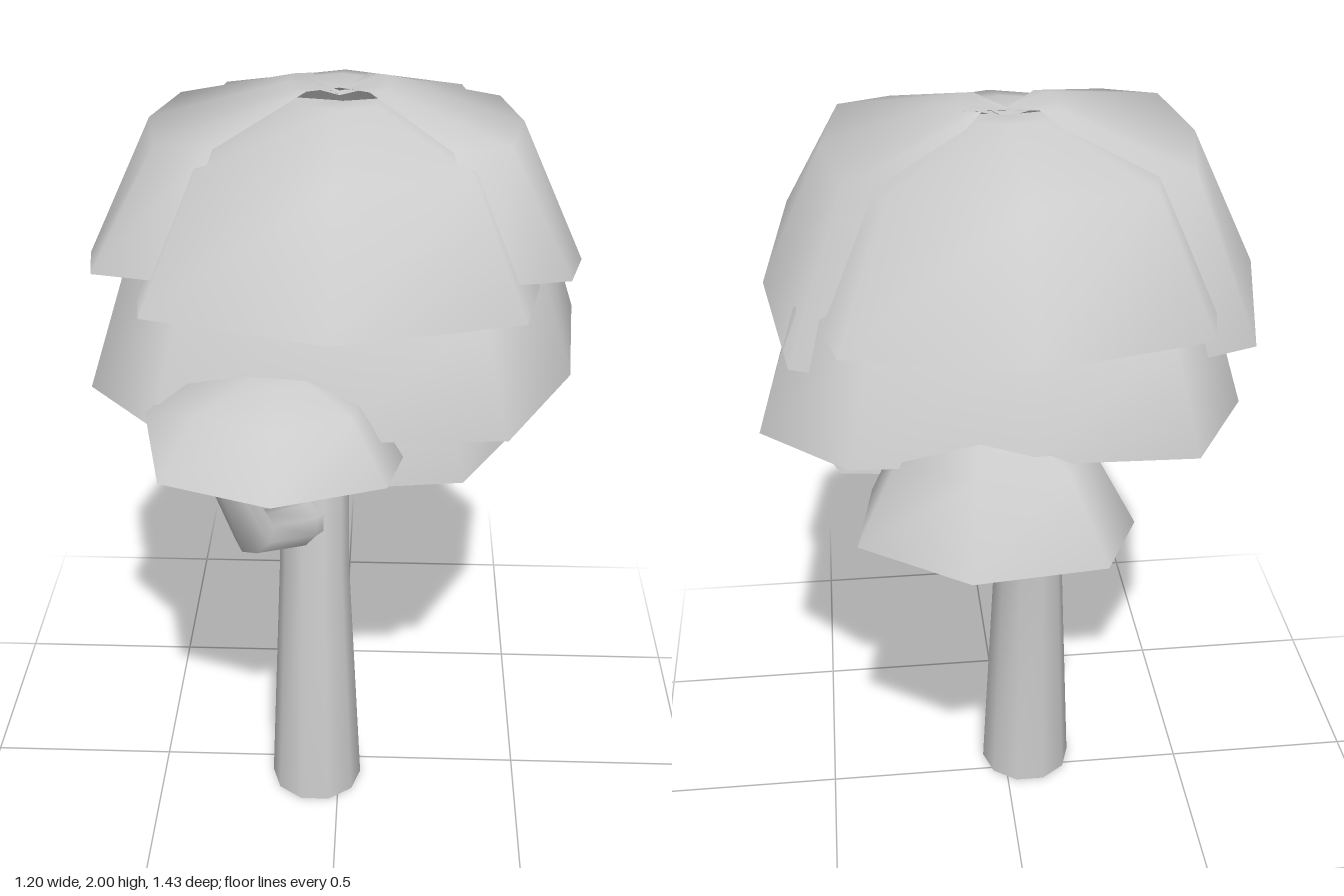
import * as THREE from 'three';

const material = new THREE.MeshStandardMaterial({ color: 0xcccccc, side: THREE.DoubleSide });

// Smooth surface through a list of rings (arrays of Vector3, counter-clockwise)
function loft(name, rings, closed) {
  const n = rings[0].length, index = [];
  const spans = closed ? n : n - 1;
  for (let r = 0; r < rings.length - 1; r++) {
    for (let i = 0; i < spans; i++) {
      const a = r * n + i, b = r * n + (i + 1) % n;
      index.push(a, b, b + n, a, b + n, a + n);
    }
  }
  const geometry = new THREE.BufferGeometry().setFromPoints(rings.flat());
  geometry.setIndex(index);
  geometry.computeVertexNormals();
  const mesh = new THREE.Mesh(geometry, material);
  mesh.name = name;
  return mesh;
}

// Tapered limb; each path entry is [x, y, z, radius]
function limb(name, path, sides) {
  const pts = path.map(p => new THREE.Vector3(p[0], p[1], p[2]));
  const up = new THREE.Vector3(0, 1, 0), q = new THREE.Quaternion();
  const rings = pts.map((p, k) => {
    const dir = pts[Math.min(k + 1, pts.length - 1)].clone().sub(pts[Math.max(k - 1, 0)]).normalize();
    if (p.y === 0) dir.copy(up);
    q.setFromUnitVectors(up, dir);
    return Array.from({ length: sides }, (_, i) => {
      const a = -i / sides * Math.PI * 2;
      return new THREE.Vector3(Math.cos(a), 0, Math.sin(a)).multiplyScalar(path[k][3]).applyQuaternion(q).add(p);
    });
  });
  return loft(name, rings, true);
}

// Leaf shell: a rim outline shrunk towards an apex; profile entries are [scale, height fraction]
function leafShell(name, rim, apex, profile, closed = false) {
  const rings = profile.map(([s, h]) => rim.map(([x, y, z]) => new THREE.Vector3(
    apex[0] + (x - apex[0]) * s,
    y + (apex[1] - y) * h,
    apex[2] + (z - apex[2]) * s)));
  return loft(name, rings, closed);
}

export function createModel() {
  const model = new THREE.Group();
  model.name = 'tree';

  // Trunk, leaning back above the middle
  model.add(limb('trunk', [
    [-0.063, 0, 0.06, 0.125], [-0.065, 0.72, 0.045, 0.092],
    [-0.065, 1.2, -0.03, 0.088], [-0.06, 1.5, -0.06, 0.06],
  ], 10));

  // Front branch with a side twig
  model.add(limb('frontBranch', [
    [-0.07, 0.87, 0.04, 0.06], [-0.1, 0.89, 0.12, 0.06], [-0.2, 0.95, 0.26, 0.056],
    [-0.28, 1.19, 0.33, 0.036], [-0.32, 1.27, 0.40, 0.03], [-0.36, 1.39, 0.48, 0.016],
  ], 8));
  model.add(limb('frontTwig', [
    [-0.27, 1.18, 0.33, 0.03], [-0.32, 1.23, 0.42, 0.025], [-0.34, 1.31, 0.48, 0.016],
  ], 6));

  // Back branch with a side twig
  model.add(limb('backBranch', [
    [-0.03, 0.99, -0.02, 0.05], [0.02, 1.03, -0.08, 0.05], [0.13, 1.09, -0.21, 0.038],
    [0.21, 1.1, -0.36, 0.03], [0.25, 1.17, -0.42, 0.024], [0.27, 1.26, -0.44, 0.014],
  ], 8));
  model.add(limb('backTwig', [
    [0.14, 1.09, -0.22, 0.03], [0.23, 1.11, -0.28, 0.025], [0.28, 1.2, -0.31, 0.014],
  ], 6));

  const crown = [[1, 0], [0.71, 0.78], [0.2, 1], [0, 0.96]];
  const crownSide = [[1, 0], [0.73, 0.8], [0.2, 1], [0, 0.96]];
  const skirt = [[1, 0], [0.84, 0.6], [0.55, 0.88], [0.25, 0.99], [0, 1]];
  const tuft = [[1, 0], [0.68, 0.74], [0.25, 0.99], [0, 1]];

  // Front and back shells of the crown
  model.add(leafShell('crownFront', [
    [-0.47, 1.57, 0.14], [-0.42, 1.61, 0.43], [0, 1.62, 0.57], [0.42, 1.61, 0.43], [0.47, 1.57, 0.14],
  ], [0, 1.975, 0], crown));
  model.add(leafShell('crownBack', [
    [0.48, 1.59, -0.15], [0.41, 1.6, -0.46], [0, 1.62, -0.6], [-0.41, 1.6, -0.46], [-0.48, 1.59, -0.15],
  ], [0, 1.985, -0.01], crown));

  // Side shells of the crown, hanging lower at the back
  for (const side of [-1, 1]) {
    const width = side < 0 ? 1 : 0.965;
    const rim = [
      [0.33, 1.49, -0.36], [0.54, 1.51, -0.32], [0.6, 1.58, 0], [0.54, 1.66, 0.31], [0.36, 1.67, 0.37],
    ].map(([x, y, z]) => [x * side * width, y, z]);
    if (side > 0) rim.reverse();
    model.add(leafShell(side < 0 ? 'crownRight' : 'crownLeft', rim, [0, 2, -0.01], crownSide));
  }

  // Middle ring of leaves
  model.add(leafShell('middleLeaves', [
    [0.6, 1.33, -0.28], [0.4, 1.35, -0.5], [0, 1.38, -0.57], [-0.37, 1.36, -0.55],
    [-0.53, 1.33, -0.25], [-0.58, 1.33, 0.22], [-0.4, 1.35, 0.45], [0, 1.35, 0.5],
    [0.39, 1.35, 0.48], [0.56, 1.33, 0.12],
  ], [0, 1.81, -0.02], skirt, true));

  // Lower ring of leaves
  model.add(leafShell('lowerLeaves', [
    [0.53, 1.21, 0.0], [0.42, 1.21, -0.28], [0.1, 1.22, -0.34], [-0.25, 1.22, -0.3],
    [-0.41, 1.2, -0.02], [-0.41, 1.17, 0.28], [-0.08, 1.18, 0.43], [0.3, 1.18, 0.38],
  ], [0.05, 1.62, 0], skirt, true));

  // Small tuft over the front branch
  model.add(leafShell('frontTuft', [
    [0.16, 1.27, 0.42], [0.1, 1.25, 0.24], [-0.12, 1.27, 0.16], [-0.34, 1.35, 0.24],
    [-0.42, 1.38, 0.43], [-0.37, 1.31, 0.62], [-0.12, 1.31, 0.71], [0.125, 1.31, 0.62],
  ], [-0.12, 1.48, 0.4], tuft, true));

  // Larger tuft over the back branch
  model.add(leafShell('backTuft', [
    [0.39, 1.18, -0.55], [0.15, 1.18, -0.72], [-0.15, 1.18, -0.69], [-0.24, 1.17, -0.5],
    [-0.15, 1.15, -0.25], [0.08, 1.13, -0.13], [0.35, 1.16, -0.28],
  ], [0.09, 1.44, -0.42], tuft, true));

  return model;
}
